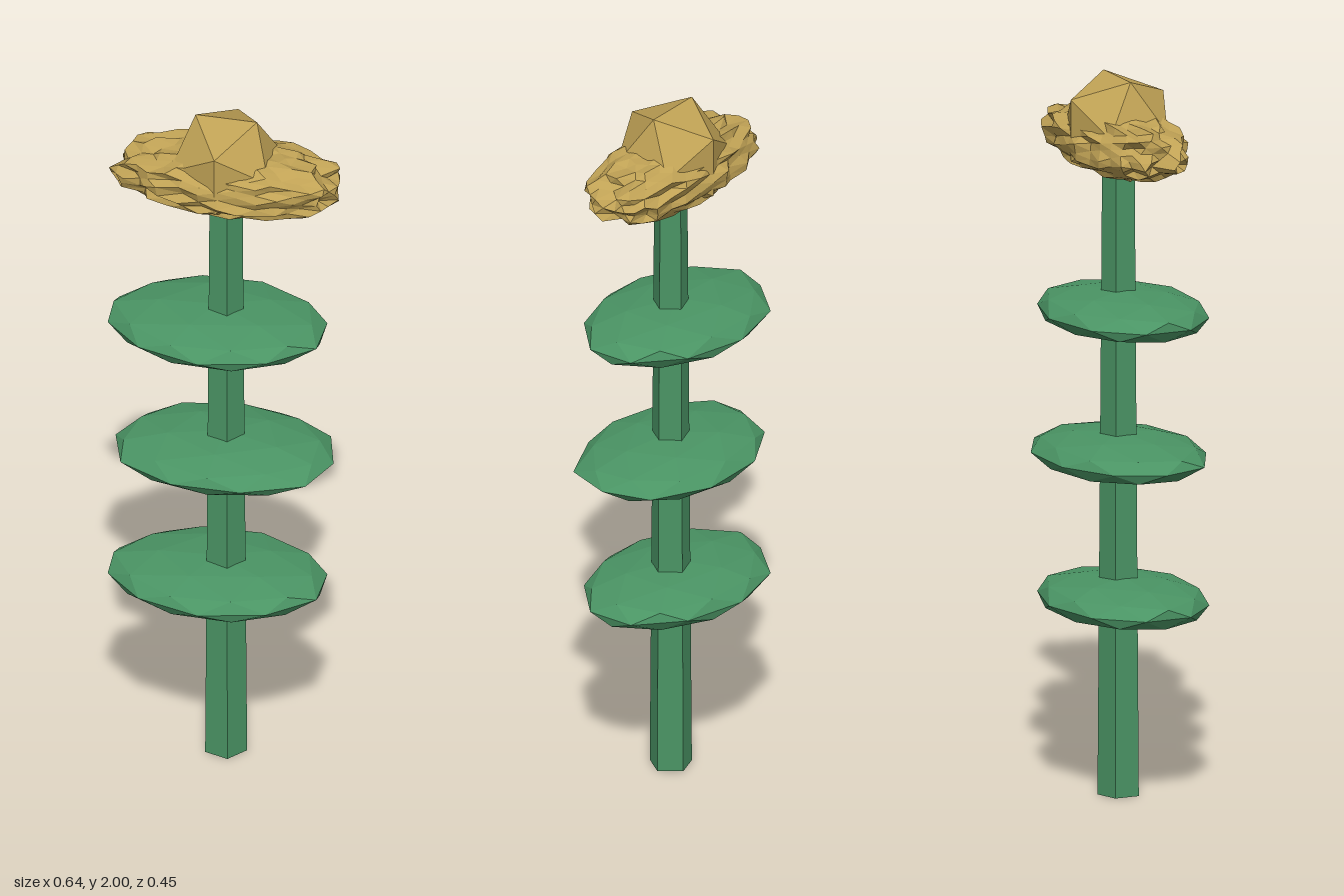
import * as THREE from 'three';

const green = new THREE.MeshStandardMaterial({ color: 0x4a9464, flatShading: true });
const gold = new THREE.MeshStandardMaterial({ color: 0xc0a255, flatShading: true });

// Repeatable 0..1 value from a position, so shared corners move together
function hash(v, seed) {
  const q = n => Math.round(n * 1000);
  const s = Math.sin(q(v.x) * 12.9898 + q(v.y) * 78.233 + q(v.z) * 37.719 + seed * 4.137) * 43758.5453;
  return s - Math.floor(s);
}

function reshape(geometry, rule) {
  const pos = geometry.attributes.position;
  const v = new THREE.Vector3();
  for (let i = 0; i < pos.count; i++) {
    v.fromBufferAttribute(pos, i);
    rule(v);
    pos.setXYZ(i, v.x, v.y, v.z);
  }
  geometry.computeVertexNormals();
  return geometry;
}

function add(group, name, geometry, material, x = 0, y = 0, z = 0) {
  const mesh = new THREE.Mesh(geometry, material);
  mesh.name = name;
  mesh.position.set(x, y, z);
  group.add(mesh);
  return mesh;
}

// Flat faceted disc: a sphere with a vertex at its pole, slightly uneven, squashed
function leafGeometry(turn, seed) {
  const g = new THREE.IcosahedronGeometry(1, 1);
  g.rotateZ(Math.atan(2 / (1 + Math.sqrt(5))));
  g.rotateY(turn);
  return reshape(g, v => {
    const k = 0.97 + 0.07 * hash(v, seed);
    v.set(v.x * 0.31 * k, v.y * 0.06, v.z * 0.222 * k);
  });
}

// Long ruffled blossom: a full ellipsoid whose corners alternate in and out
function petalGeometry() {
  const g = new THREE.IcosahedronGeometry(1, 5);
  return reshape(g, v => {
    const k = 0.87 + 0.19 * hash(v, 3);
    const fullness = n => Math.sign(n) * Math.pow(Math.abs(n), 0.85);
    v.set(v.x * 0.315 * k, fullness(v.y) * 0.09 * k, fullness(v.z) * 0.148 * k);
  });
}

export function createModel() {
  const model = new THREE.Group();
  model.name = 'flower';

  // Five-sided tapering stem
  const stem = new THREE.CylinderGeometry(0.047, 0.06, 1.8, 5, 1, false, Math.PI / 2);
  add(model, 'stem', stem, green, 0, 0.9, 0);

  // Three leaf discs
  [0.55, 0.95, 1.35].forEach((y, i) => {
    const middle = i === 1;
    add(model, 'leaf' + (i + 1), leafGeometry(middle ? 0.3 : 0, middle ? 2 : 1), green,
      middle ? 0 : -0.025, y, 0);
  });

  // Flower head
  add(model, 'petals', petalGeometry(), gold, 0.008, 1.822, -0.007);
  add(model, 'flowerCentre', new THREE.IcosahedronGeometry(0.163, 0), gold, 0, 1.861, -0.007);

  return model;
}
